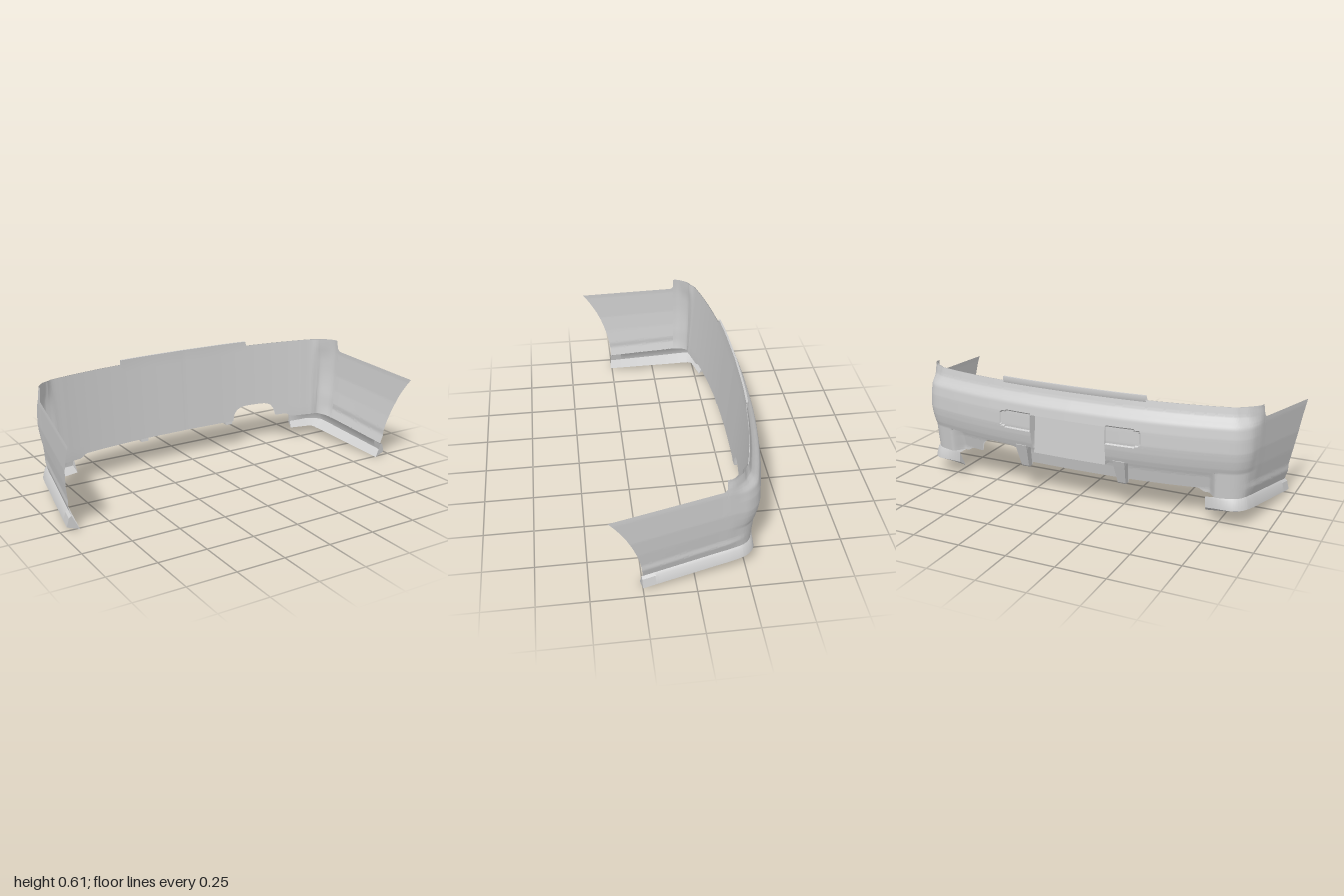
import * as THREE from 'three';
import { toCreasedNormals } from 'three/addons/utils/BufferGeometryUtils.js';

const material = new THREE.MeshStandardMaterial({ color: 0xcccccc, side: THREE.DoubleSide });
const { lerp, smoothstep, clamp } = THREE.MathUtils;

// Plan outline of one half, from the middle of the rear round the corner to the wheel arch
const halfCurve = new THREE.CatmullRomCurve3([
  [0, -0.4], [0.3, -0.391], [0.55, -0.365], [0.75, -0.328], [0.85, -0.298], [0.895, -0.252],
  [0.913, -0.19], [0.926, -0.1], [0.95, 0.06], [1, 0.4],
].map(([x, z]) => new THREE.Vector3(x, 0, z)), false, 'centripetal');
const steps = 240;
const half = halfCurve.getSpacedPoints(steps).map((p, i) => {
  const t = halfCurve.getTangentAt(i / steps);
  return { x: p.x, z: p.z, nx: i ? t.z : 0, nz: i ? -t.x : -1 };
});
const flip = (p) => ({ ...p, x: -p.x, nx: -p.nx });
const outline = [...half.slice(1).reverse().map(flip), ...half];

// Piecewise linear lookup in a list of [key, value] with rising keys
function lookup(table, k) {
  if (k <= table[0][0]) return table[0][1];
  for (let i = 1; i < table.length; i++) {
    const [a, va] = table[i - 1], [b, vb] = table[i];
    if (k <= b) return lerp(va, vb, (k - a) / (b - a));
  }
  return table[table.length - 1][1];
}

// Skin between equally long rows of points
function skin(name, rows) {
  const n = rows[0].length, index = [];
  for (let i = 0; i < rows.length - 1; i++) {
    for (let j = 0; j < n - 1; j++) {
      const a = i * n + j, b = a + n;
      index.push(a, a + 1, b, b, a + 1, b + 1);
    }
  }
  const g = new THREE.BufferGeometry();
  g.setAttribute('position', new THREE.Float32BufferAttribute(rows.flat(2), 3));
  g.setIndex(index);
  const mesh = new THREE.Mesh(toCreasedNormals(g, 0.6), material);
  mesh.name = name;
  return mesh;
}

const inward = (p, inset, y) => [p.x - p.nx * inset, y, p.z - p.nz * inset];

// Distance inside the outline by height; the side table is measured from its sloping lower edge
const rearInset = [[0.14, 0.035], [0.275, 0.024], [0.3, 0.015], [0.34, 0.006], [0.38, 0.001],
  [0.45, 0.004], [0.5, 0.013], [0.512, 0.02], [0.53, 0.037], [0.55, 0.052], [0.595, 0.063]];
const sideInset = [[0, 0.037], [0.03, 0.028], [0.05, 0.022], [0.08, 0.024], [0.16, 0.012],
  [0.25, 0.003], [0.38, 0], [0.42, 0.002], [0.45, 0.006]];
const valanceInset = [[0.165, 0.095], [0.235, 0.078], [0.274, 0.062]];
// Wheel arch edge: z by height
const arch = [[0.075, 0.245], [0.14, 0.251], [0.18, 0.258], [0.22, 0.268], [0.26, 0.281], [0.31, 0.3],
  [0.36, 0.323], [0.4, 0.346], [0.44, 0.372], [0.477, 0.4]];

function topEdge(p) {
  if (p.z < -0.14) return 0.593;
  return 0.517 - p.z * 0.1 + 0.015 * (1 - smoothstep(p.z, -0.14, -0.12));
}

function bottomEdge(p) {
  const ax = Math.abs(p.x);
  if (p.z > -0.24) {
    const z = p.z > -0.1 ? lerp(-0.1, 0.245, (p.z + 0.1) / 0.5) : p.z;
    return lerp(0.145, 0.075, (z + 0.24) / 0.485);
  }
  const y = lerp(0.165, 0.145, smoothstep(ax, 0.65, 0.7));
  const d = Math.abs((p.x - 0.445) / 0.14); // exhaust cutout
  return d < 1 ? y + 0.08 * Math.sqrt(1 - d ** 4) : y;
}

const bodyInset = (p, y) => lerp(lookup(rearInset, y), lookup(sideInset, y - bottomEdge(p)),
  smoothstep(p.z, -0.29, -0.15));

function shellPoint(p, y) {
  const ax = Math.abs(p.x);
  let inset = bodyInset(p, y);
  if (p.z < -0.25) {
    // recessed valance under the overhang
    if (y < 0.2745) inset = lerp(lookup(valanceInset, y), inset, smoothstep(ax, 0.71, 0.755));
    // number plate recess and the shallow lamp pockets beside it
    if (ax < 0.2 && y > 0.245 && y < 0.453) inset = lerp(0.025, 0.045, (y - 0.245) / 0.208);
    else if (ax > 0.207 && ((ax - 0.207) / 0.178) ** 8 + (Math.abs(y - 0.413) / 0.043) ** 8 < 1) inset += 0.007;
  }
  const q = inward(p, inset, y);
  if (p.z > -0.1) {
    // pull the side back to the wheel arch
    const dz = (p.z + 0.1) * ((lookup(arch, y) + 0.1) / 0.5 - 1);
    q[0] += Math.sign(p.x) * dz * 0.15;
    q[2] += dz;
  }
  return q;
}

function bumperShell() {
  const low = 22, high = 46, mid = 0.275;
  return skin('bumperShell', outline.map((p) => {
    const top = topEdge(p), bottom = bottomEdge(p), column = [];
    for (let j = 0; j <= low; j++) column.push(shellPoint(p, lerp(bottom, mid, j / low)));
    for (let j = 1; j <= high; j++) column.push(shellPoint(p, lerp(mid, top, j / high)));
    return column;
  }));
}

// Plain wall closing the hollow behind the rear face, running out into the sides
function innerWall() {
  const rows = 14;
  return skin('innerWall', outline.filter((p) => p.z < -0.13).map((p) => {
    const top = Math.abs(p.x) < 0.4 ? 0.617 : 0.593, bottom = bottomEdge(p);
    const runOut = smoothstep(p.z, -0.31, -0.15), column = [];
    for (let j = 0; j <= rows; j++) {
      const y = lerp(bottom, top, j / rows);
      const rear = lerp(0.1, 0.066, clamp((y - 0.165) / 0.43, 0, 1));
      column.push(inward(p, lerp(rear, bodyInset(p, y) + 0.003, runOut), y));
    }
    return column;
  }));
}

// Skirt channel below the side, wrapped round the corner
function sideSkirt(side) {
  const group = new THREE.Group();
  group.name = side > 0 ? 'leftSkirt' : 'rightSkirt';
  const path = half.filter((p) => p.x > 0.7 && p.z < 0.25);
  const rows = path.map((p) => {
    const k = clamp((p.z + 0.24) / 0.485, 0, 1); // 1 at the wheel arch
    const kb = clamp((p.z + 0.3) / 0.55, 0, 1);
    const r = smoothstep(p.x, 0.7, 0.87); // 0 at the rear end
    const section = [
      [0.037, lerp(0.147, 0.077, k)],
      [lerp(0.036, 0.024, r), lerp(0.135, 0.066, k)],
      [lerp(0.036, 0.012, r), lerp(0.09, 0.022, k)],
      [0.075, lerp(0.062, 0.003, kb)],
    ];
    return section.map(([inset, y]) => {
      const q = inward(p, inset, y);
      return [q[0] * side, q[1], q[2]];
    });
  });
  group.add(skin('skirtChannel', rows));
  for (const [a, b, c, d] of [rows[0], rows[rows.length - 1]]) {
    group.add(skin('skirtEnd', [[a, d], [b, c]]));
  }
  return group;
}

// Raised strip along the middle of the top edge
function topTab() {
  const section = [[0.059, 0.585], [0.054, 0.6], [0.056, 0.617], [0.066, 0.617]];
  return skin('topTab', outline.filter((p) => Math.abs(p.x) < 0.4)
    .map((p) => section.map(([inset, y]) => inward(p, inset, y))));
}

// Downward fin under the overhang, tapering to its lower edge
function valanceFin(side) {
  const shape = new THREE.Shape([
    [0.376, 0.28], [0.366, 0.25], [0.333, 0.155], [0.325, 0.147], [0.296, 0.147], [0.3, 0.17], [0.33, 0.28],
  ].map(([z, y]) => new THREE.Vector2(z, y)));
  const g = new THREE.ExtrudeGeometry(shape, { depth: 0.05, bevelEnabled: false });
  g.translate(0, 0, -0.025);
  g.rotateY(Math.PI / 2);
  const pos = g.attributes.position;
  for (let i = 0; i < pos.count; i++) {
    pos.setX(i, pos.getX(i) * lerp(0.75, 1.2, smoothstep(pos.getY(i), 0.14, 0.19)));
  }
  g.computeVertexNormals();
  const mesh = new THREE.Mesh(g, material);
  mesh.name = side > 0 ? 'leftFin' : 'rightFin';
  mesh.position.set(side * 0.272, 0, 0);
  return mesh;
}

export function createModel() {
  const model = new THREE.Group();
  model.name = 'rearBumper';
  model.add(bumperShell(), innerWall(), topTab());
  for (const side of [1, -1]) model.add(sideSkirt(side), valanceFin(side));
  return model;
}
